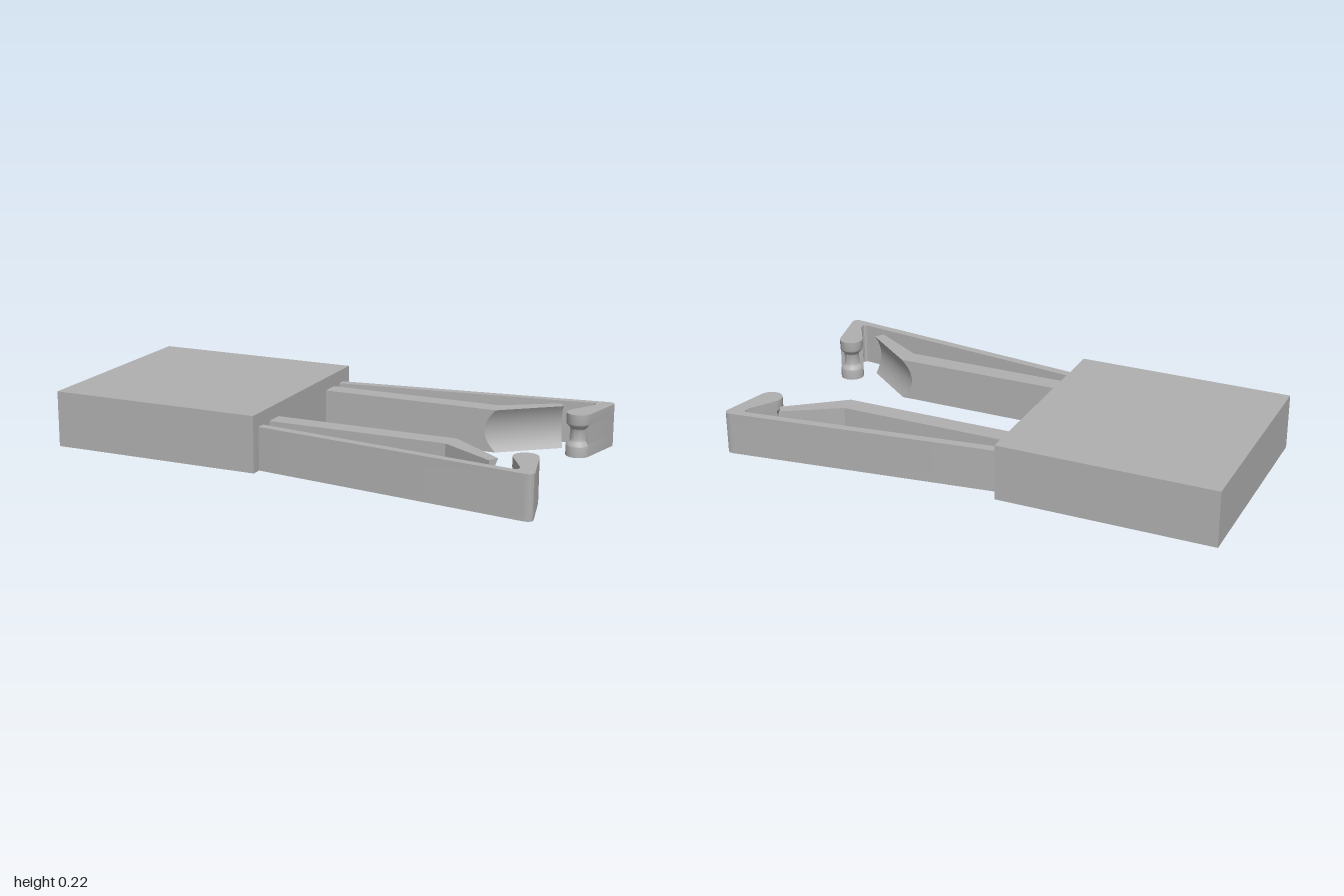
import * as THREE from 'three';
import { toCreasedNormals } from 'three/addons/utils/BufferGeometryUtils.js';

const H = 0.172; // finger height

// Stack of horizontal outlines [x, z], one for each height; side = -1 mirrors in z
function loft(heights, outlineAt, side) {
  const pos = [];
  const rings = heights.map((y) => {
    const pts = outlineAt(y).map(([x, z]) => new THREE.Vector2(x, -z * side));
    return THREE.ShapeUtils.area(pts) < 0 ? pts.reverse() : pts;
  });
  const put = (level, i) => {
    const p = rings[level][i];
    pos.push(p.x, heights[level], -p.y);
  };
  const n = rings[0].length, top = rings.length - 1;
  for (let l = 0; l < top; l++) {
    for (let i = 0; i < n; i++) {
      const j = (i + 1) % n;
      put(l, i); put(l, j); put(l + 1, j);
      put(l, i); put(l + 1, j); put(l + 1, i);
    }
  }
  for (const [a, b, c] of THREE.ShapeUtils.triangulateShape(rings[0], [])) {
    put(0, c); put(0, b); put(0, a);
    put(top, a); put(top, b); put(top, c);
  }
  const g = new THREE.BufferGeometry();
  g.setAttribute('position', new THREE.Float32BufferAttribute(pos, 3));
  return toCreasedNormals(g, 0.5);
}

// Inner finger: straight bar with a bent tip, scooped hollow on its inner face
function padOutline(y) {
  const t = (2 * y) / H - 1;
  const d = 0.028 * (1 - t * t);
  return [
    [-0.14, 0.216], [0.603 - d / 0.62, 0.216],
    [0.824 - d * 0.5, 0.388 + d * 0.87],
    [0.802, 0.425], [0.588, 0.294], [-0.14, 0.294],
  ];
}

// Outer finger: slanted spring arm with a hooked end and a waisted round knob
function armOutline(y) {
  const k = THREE.MathUtils.clamp((0.046 - Math.abs(y - H / 2)) / 0.026, 0, 1);
  const r = 0.048 - 0.017 * THREE.MathUtils.smoothstep(k, 0, 1);
  const cx = 0.906, cz = 0.325, from = -13, to = -210;
  const at = (deg, rad) => {
    const a = THREE.MathUtils.degToRad(deg);
    return [cx + rad * Math.cos(a), cz + rad * Math.sin(a)];
  };
  const pts = [
    [-0.14, 0.383], [0.965, 0.523], [0.98, 0.523], [0.99, 0.518], [0.996, 0.508], [0.996, 0.497],
    at(from, 0.0481),
  ];
  for (let i = 0; i <= 14; i++) pts.push(at(from + ((to - from) * i) / 14, r));
  pts.push(at(to, 0.0481), [0.925, 0.45], [0.931, 0.466], [0.929, 0.478], [0.92, 0.484], [0.905, 0.483], [-0.14, 0.346]);
  return pts;
}

export function createModel() {
  const model = new THREE.Group();
  model.name = 'gripper';
  const grey = new THREE.MeshStandardMaterial({ color: 0xb0b0b0 });
  grey.name = 'grey';

  const add = (name, geometry) => {
    const mesh = new THREE.Mesh(geometry, grey);
    mesh.name = name;
    model.add(mesh);
    return mesh;
  };

  // Body block
  add('body', new THREE.BoxGeometry(0.87, 0.225, 0.87)).position.set(-0.565, 0.1125, -0.008);

  // Finger pairs
  const padHeights = Array.from({ length: 17 }, (_, i) => (H * i) / 16);
  const armHeights = [0];
  for (let i = 0; i <= 6; i++) armHeights.push(0.04 + (0.026 * i) / 6);
  for (let i = 0; i <= 6; i++) armHeights.push(H - 0.066 + (0.026 * i) / 6);
  armHeights.push(H);
  for (const [side, label] of [[1, 'front'], [-1, 'back']]) {
    add(label + 'InnerFinger', loft(padHeights, padOutline, side));
    add(label + 'HookedArm', loft(armHeights, armOutline, side));
  }
  return model;
}
